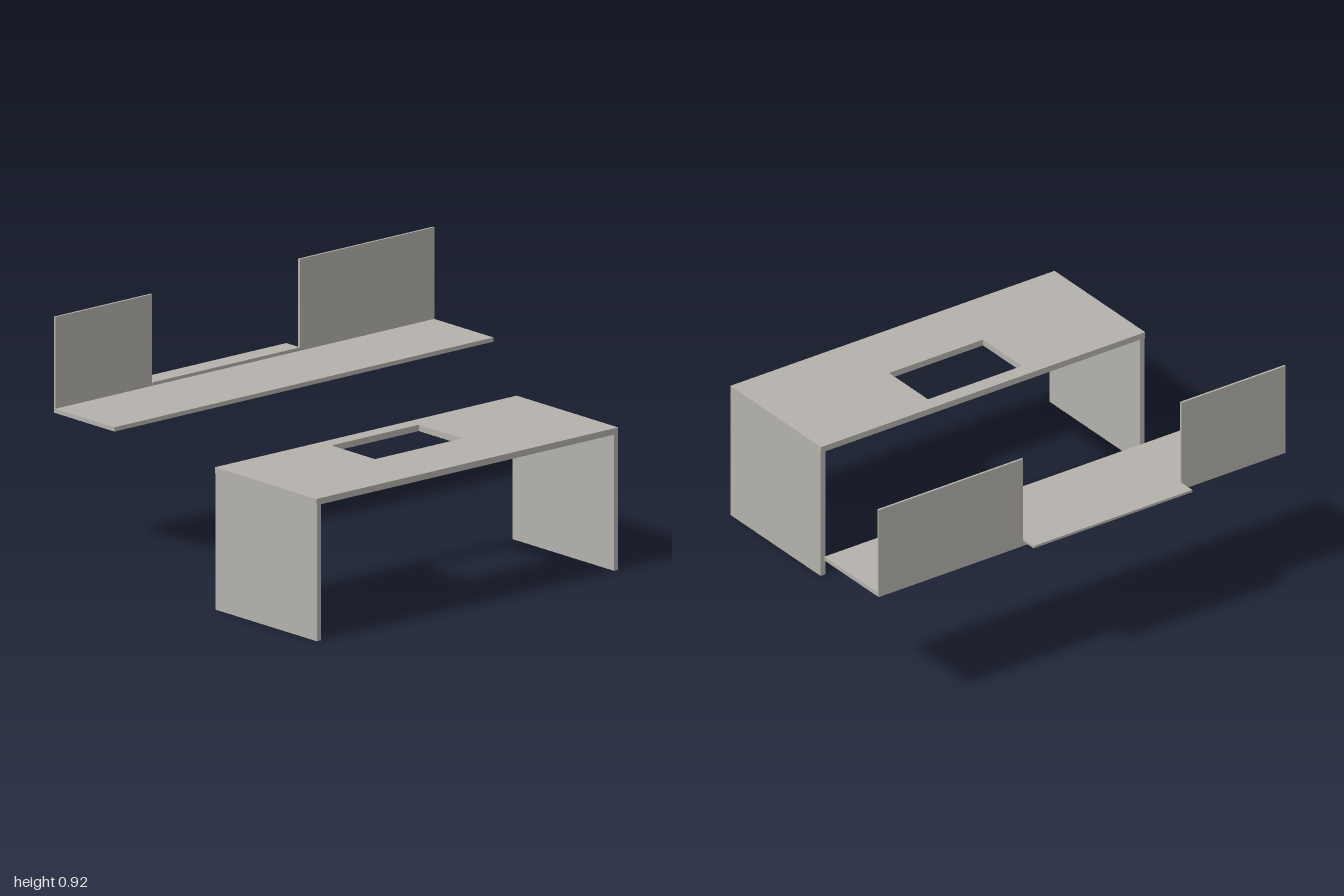
import * as THREE from 'three';

export function createModel() {
  const group = new THREE.Group();
  const panelGrey = new THREE.MeshStandardMaterial({ color: 0xb4b1ac });
  panelGrey.name = 'panelGrey';

  const add = (name, geometry) => {
    const mesh = new THREE.Mesh(geometry, panelGrey);
    mesh.name = name;
    group.add(mesh);
    return mesh;
  };

  // Board given by its lower and upper limits on each axis
  const board = (name, [x0, x1], [y0, y1], [z0, z1]) =>
    add(name, new THREE.BoxGeometry(x1 - x0, y1 - y0, z1 - z0))
      .position.set((x0 + x1) / 2, (y0 + y1) / 2, (z0 + z1) / 2);

  const outline = (Type, points) => new Type(points.map(([x, y]) => new THREE.Vector2(x, y)));
  const rectangle = (Type, x0, x1, y0, y1) =>
    outline(Type, [[x0, y0], [x1, y0], [x1, y1], [x0, y1]]);

  // Desk top with a rectangular cut-out, drawn in x and -z, then laid flat
  const top = rectangle(THREE.Shape, -1, 0.52, -0.845, -0.258);
  top.holes.push(rectangle(THREE.Path, -0.467, -0.027, -0.572, -0.32));
  const topGeometry = new THREE.ExtrudeGeometry(top, { depth: 0.025, bevelEnabled: false });
  topGeometry.rotateX(-Math.PI / 2);
  add('deskTop', topGeometry).position.y = 0.537;

  // Desk side panels
  board('rightSidePanel', [-0.998, -0.976], [0, 0.537], [0.26, 0.845]);
  board('leftSidePanel', [0.498, 0.52], [0, 0.537], [0.26, 0.845]);

  // Wide shelf board
  board('shelf', [-0.908, 1], [0.539, 0.556], [-0.77, -0.428]);

  // Thin upright back, notched low in the middle
  const back = outline(THREE.Shape, [
    [-0.908, 0.539], [1, 0.539], [1, 0.918], [0.323, 0.918],
    [0.323, 0.56], [-0.42, 0.56], [-0.42, 0.918], [-0.908, 0.918],
  ]);
  add('backPanel', new THREE.ExtrudeGeometry(back, { depth: 0.009, bevelEnabled: false }))
    .position.z = -0.779;

  // Narrow sill resting in the notch
  board('sill', [-0.42, 0.323], [0.56, 0.57], [-0.848, -0.768]);

  return group;
}
